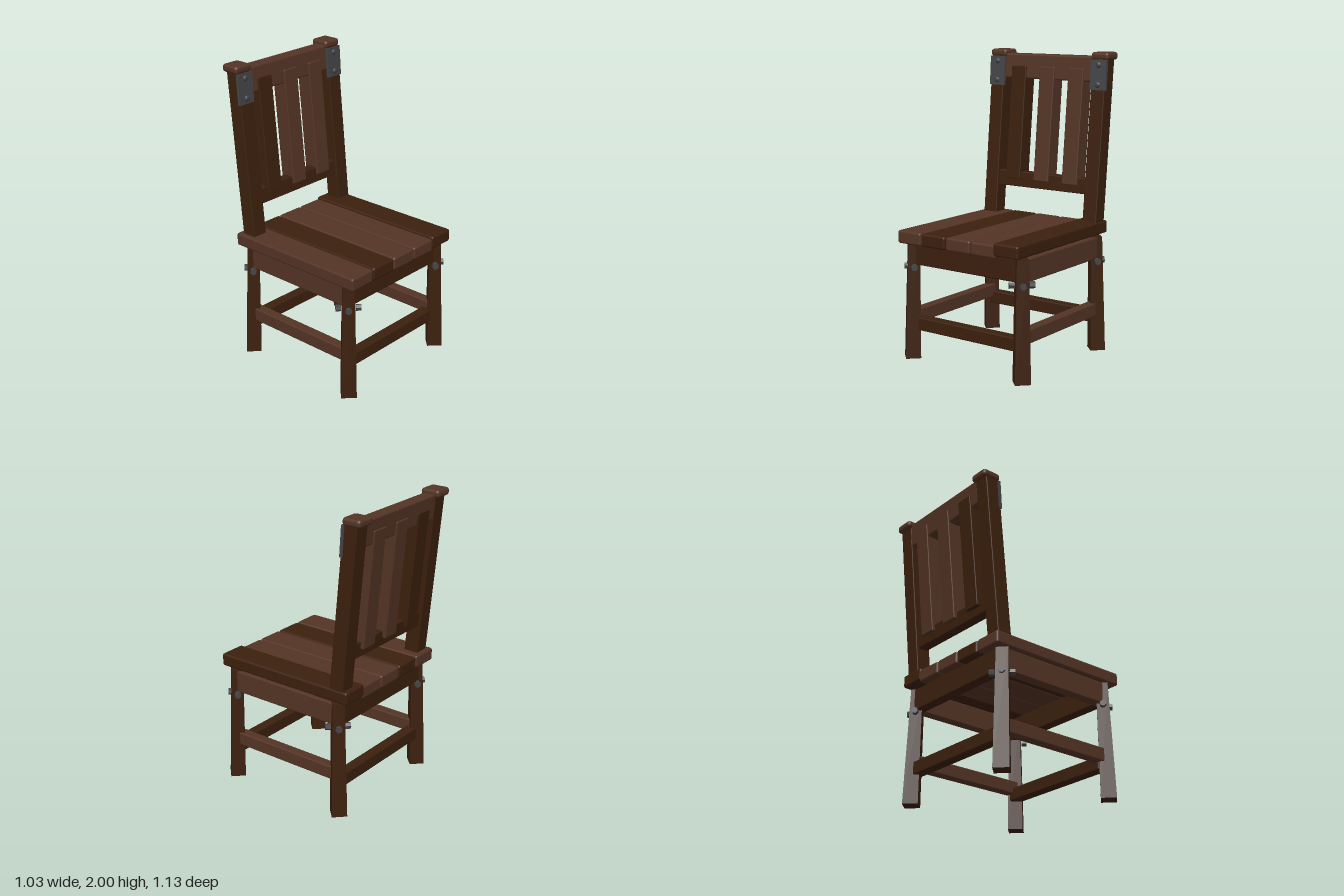
import * as THREE from 'three';
import { RoundedBoxGeometry } from 'three/addons/geometries/RoundedBoxGeometry.js';

const lightWood = new THREE.MeshStandardMaterial({ name: 'lightWood', color: 0x543425 });
const darkWood = new THREE.MeshStandardMaterial({ name: 'darkWood', color: 0x3c200d });
const iron = new THREE.MeshStandardMaterial({ name: 'iron', color: 0x444547 });

const LEAN = 0.0955; // backward lean of the backrest, z per unit of y
const backZ = (y) => -0.384 - LEAN * (y - 0.88); // centre line of the backrest

export function createModel() {
  const model = new THREE.Group();

  function add(name, geometry, material, x = 0, y = 0, z = 0) {
    const mesh = new THREE.Mesh(geometry, material);
    mesh.name = name;
    mesh.position.set(x, y, z);
    model.add(mesh);
    return mesh;
  }

  // Soft-edged board given by its extents
  function board(name, material, [x0, x1], [y0, y1], [z0, z1], r = 0.008) {
    const g = new RoundedBoxGeometry(x1 - x0, y1 - y0, z1 - z0, 2, r);
    return add(name, g, material, (x0 + x1) / 2, (y0 + y1) / 2, (z0 + z1) / 2);
  }

  // Board that follows the lean of the backrest
  function leaning(name, material, [x0, x1], [y0, y1], depth, offset = 0, r = 0.006) {
    const y = (y0 + y1) / 2;
    const g = new RoundedBoxGeometry(x1 - x0, y1 - y0, depth, 2, r);
    g.applyMatrix4(new THREE.Matrix4().set(1, 0, 0, 0, 0, 1, 0, 0, 0, -LEAN, 1, 0, 0, 0, 0, 1));
    return add(name, g, material, (x0 + x1) / 2, y, backZ(y) + offset);
  }

  // Seat planks, the last one sitting a little proud
  [lightWood, darkWood, lightWood, lightWood].forEach((m, i) => {
    const x = -0.4 + i * 0.2;
    board('seatPlank', m, [x - 0.096, x + 0.096], [0.78, 0.866], [-0.47, 0.555], 0.014);
  });
  board('raisedSeatPlank', darkWood, [0.285, 0.472], [0.797, 0.882], [-0.47, 0.562], 0.014);

  // Splayed legs, square in section and turned to stand on a corner
  const legHeight = 0.785;
  for (const sx of [-1, 1]) {
    for (const [sz, topZ, bottomZ] of [[1, 0.465, 0.48], [-1, -0.377, -0.392]]) {
      let g = new THREE.CylinderGeometry(0.054, 0.071, legHeight, 4);
      g.translate(0, legHeight / 2, 0);
      const p = g.attributes.position;
      for (let i = 0; i < p.count; i++) {
        const t = p.getY(i) / legHeight;
        p.setX(i, p.getX(i) + sx * THREE.MathUtils.lerp(0.445, 0.435, t));
        p.setZ(i, p.getZ(i) + THREE.MathUtils.lerp(bottomZ, topZ, t));
      }
      g = g.toNonIndexed();
      g.computeVertexNormals();
      add(sz > 0 ? 'frontLeg' : 'backLeg', g, darkWood);

      // Hexagonal bolts on the outer face and its two neighbours
      for (const [dx, dz, d] of [[1, 1, 0.03], [-1, 1, 0.045], [1, -1, 0.045]]) {
        const bolt = add('legBolt', new THREE.CylinderGeometry(0.022, 0.022, 0.035, 6).toNonIndexed(), iron,
          sx * (0.437 + dx * d), 0.622, topZ + sz * (0.003 + dz * d));
        bolt.geometry.computeVertexNormals();
        const axis = new THREE.Vector3(sx * dx, 0, sz * dz).normalize();
        bolt.quaternion.setFromUnitVectors(new THREE.Vector3(0, 1, 0), axis);
      }
    }

    // Side apron and stretcher
    const x = sx * 0.43;
    board('sideApron', lightWood, [x - 0.035, x + 0.035], [0.635, 0.782], [-0.37, 0.46]);
    board('sideStretcher', lightWood, [x - 0.035, x + 0.035], [0.24, 0.33], [-0.38, 0.47]);

    // Back post with its cap
    const px = sx * 0.412;
    leaning('backPost', darkWood, [px - 0.053, px + 0.053], [0.8, 1.965], 0.104);
    board('postCap', lightWood, [px - 0.067, px + 0.067], [1.948, 2], [-0.567, -0.433], 0.02);

    // Iron plate with two rivets
    const plate = add('postPlate', new THREE.BoxGeometry(0.122, 0.2, 0.02), iron, px, 1.852, -0.43);
    plate.rotation.x = -Math.atan(LEAN) * 0.7;
    for (const y of [1.918, 1.788]) {
      const rivet = add('plateRivet', new THREE.SphereGeometry(0.02, 12, 8), iron, px, y, -0.42 - (y - 1.852) * 0.07);
      rivet.scale.z = 0.6;
    }
  }

  // Front and back aprons and stretchers
  for (const z of [0.45, -0.378]) {
    board('crossApron', darkWood, [-0.42, 0.42], [0.635, 0.782], [z - 0.037, z + 0.037]);
    board('crossStretcher', darkWood, [-0.43, 0.43], [0.192, 0.28], [z - 0.037, z + 0.037]);
  }

  // Backrest rails and slats
  leaning('topRail', lightWood, [-0.37, 0.37], [1.802, 1.972], 0.09, -0.005, 0.014);
  leaning('lowerRail', darkWood, [-0.37, 0.37], [1.058, 1.162], 0.07);
  [[-0.234, darkWood], [0, lightWood], [0.232, lightWood]].forEach(([x, m]) =>
    leaning('backSlat', m, [x - 0.06, x + 0.06], [1.113, 1.89], 0.11, -0.005));

  return model;
}
